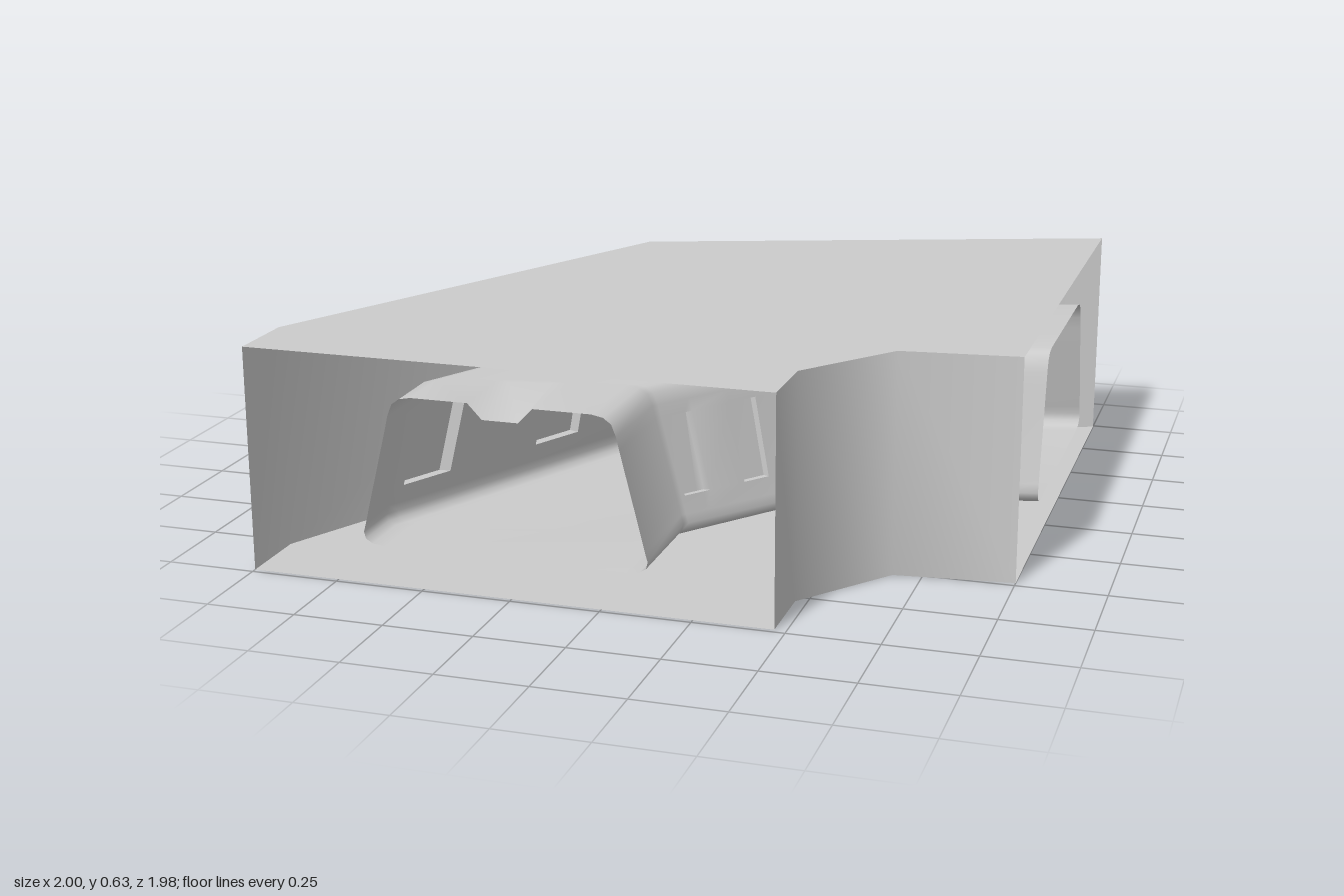
import * as THREE from 'three';
import { toCreasedNormals } from 'three/addons/utils/BufferGeometryUtils.js';

const CREASE = 0.95;
const HEIGHT = 0.63;

// Plan outlines as [x, z]
const backWall = [[1, -0.99], [-0.365, -0.522], [-1, 0.775], [-1, 0.985]];
const cornerWall = [[0.468, 0.985], [0.468, 0.78], [0.67, 0.518], [1, 0.48]];
const tunnelOuter = [[-0.67, 0.985], [-0.67, 0.84], [-0.10, -0.34], [1, -0.65]];
const tunnelInner = [[0.13, 0.985], [0.13, 0.68], [0.46, 0.26], [1, 0.15]];

// Wall slots per tunnel segment, as [start, end] fractions
const outerSlots = [[], [[0.03, 0.16], [0.41, 0.54], [0.78, 0.91]], [[0.12, 0.27], [0.63, 0.78]]];
const innerSlots = [[], [[0.05, 0.20], [0.41, 0.56], [0.79, 0.94]], [[0.15, 0.30], [0.58, 0.73]]];
const OUTER_DEPTH = 0.035;
const INNER_DEPTH = -0.02;

// Half cross-section: [inset from wall foot, y, slot face 0/1, ceiling dent]
const profile = [
  [0.06, 0.11, 0, 0], [0.025, 0.114, 0, 0], [0.006, 0.126, 0, 0], [0.001, 0.145, 0, 0],
  [0.008, 0.17, 0, 0], [0.02, 0.22, 0, 0], [0.02, 0.22, 1, 0], [0.075, 0.44, 1, 0],
  [0.075, 0.44, 0, 0], [0.083, 0.475, 0, 0], [0.096, 0.508, 0, 0], [0.118, 0.524, 0, 0],
  [0.15, 0.53, 0, 0], [0.31, 0.53, 0, 0], [0.35, 0.53, 0, 0.042],
];

const material = new THREE.MeshStandardMaterial({ color: 0xcccccc, side: THREE.DoubleSide });

function addMesh(group, name, geometry) {
  const mesh = new THREE.Mesh(geometry, material);
  mesh.name = name;
  group.add(mesh);
}

// Skin a list of equally long rows of points
function loft(rows) {
  const index = [];
  const n = rows[0].length;
  for (let r = 0; r < rows.length - 1; r++) {
    for (let i = 0; i < n - 1; i++) {
      const a = r * n + i, b = a + 1, c = a + n, d = c + 1;
      index.push(a, c, b, b, c, d);
    }
  }
  const geometry = new THREE.BufferGeometry();
  geometry.setAttribute('position', new THREE.Float32BufferAttribute(rows.flat(2), 3));
  geometry.setIndex(index);
  return toCreasedNormals(geometry, CREASE);
}

function wall(points) {
  return loft([0, HEIGHT].map((y) => points.map(([x, z]) => [x, y, z])));
}

// Flat floor or roof plate over the whole footprint
function plate(y) {
  const outline = [...backWall, ...cornerWall].map(([x, z]) => new THREE.Vector2(x, -z));
  return new THREE.ShapeGeometry(new THREE.Shape(outline)).rotateX(-Math.PI / 2).translate(0, y, 0);
}

function tunnel() {
  const mix = (a, b, t) => a + (b - a) * t;
  const hit = (slots, t) => slots.some(([a, b]) => t > a && t < b);

  // Point at a path node, set in from one side toward the other
  const nodePoint = (side, other, k, inset) => {
    const [x, z] = side[k];
    const dx = other[k][0] - x, dz = other[k][1] - z;
    const len = Math.hypot(dx, dz);
    return [x + dx / len * inset, z + dz / len * inset];
  };

  // One side of the section; the ceiling dent ramps out along the first segment
  const half = (side, other, seg, t, depth) => profile.map(([inset, y, slot, dent]) => {
    const d = inset - slot * depth;
    const p = nodePoint(side, other, seg, d);
    const q = nodePoint(side, other, seg + 1, d);
    const drop = seg === 0 ? dent * (1 - t) : 0;
    return [mix(p[0], q[0], t), y - drop, mix(p[1], q[1], t)];
  });

  // Each stop gets a row per neighbouring interval, so slot ends stay square
  const rows = [];
  for (let seg = 0; seg < 3; seg++) {
    const stops = [0, 1, ...outerSlots[seg].flat(), ...innerSlots[seg].flat()];
    stops.sort((a, b) => a - b);
    for (let i = 0; i < stops.length - 1; i++) {
      const middle = (stops[i] + stops[i + 1]) / 2;
      const outerDepth = hit(outerSlots[seg], middle) ? OUTER_DEPTH : 0;
      const innerDepth = hit(innerSlots[seg], middle) ? INNER_DEPTH : 0;
      for (const t of [stops[i], stops[i + 1]]) {
        const outer = half(tunnelOuter, tunnelInner, seg, t, outerDepth);
        const inner = half(tunnelInner, tunnelOuter, seg, t, innerDepth);
        rows.push([...outer, ...inner.reverse(), outer[0]]);
      }
    }
  }
  return loft(rows);
}

export function createModel() {
  const group = new THREE.Group();
  group.name = 'corridorBend';

  // Thin outer casing, open at the front and the right end
  const casing = new THREE.Group();
  casing.name = 'casing';
  addMesh(casing, 'backWall', wall(backWall));
  addMesh(casing, 'cornerWall', wall(cornerWall));
  addMesh(casing, 'floorPlate', plate(0));
  addMesh(casing, 'roofPlate', plate(HEIGHT));
  group.add(casing);

  // Bent passage with slots pressed into both walls
  addMesh(group, 'tunnel', tunnel());
  return group;
}
